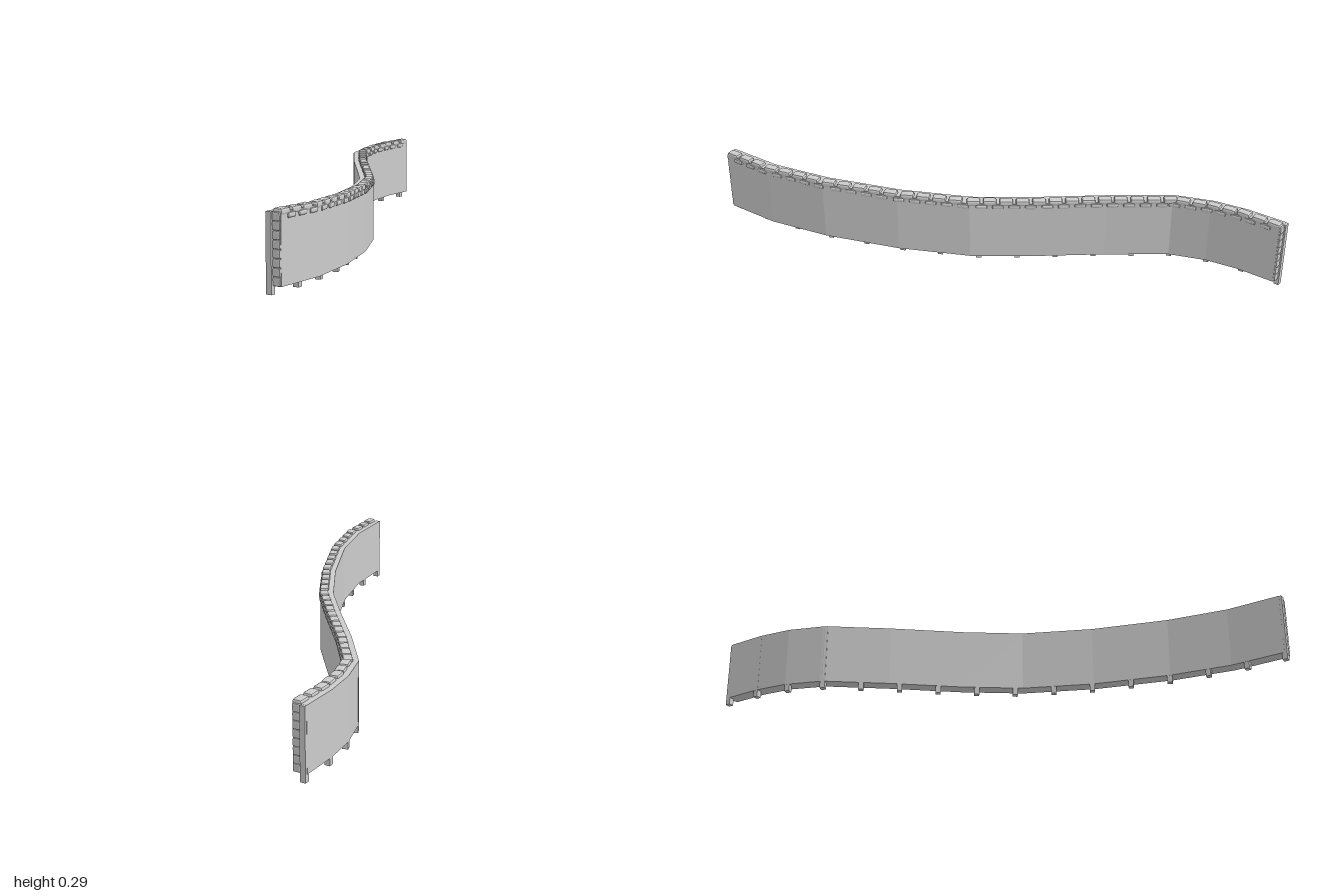
import * as THREE from 'three';
import { RoundedBoxGeometry } from 'three/addons/geometries/RoundedBoxGeometry.js';

const HEIGHT = 0.227, THICK = 0.05;

// Back lower edge of the wall: x, y, z
const PATH = [
  [-0.402, 0.058, 0.962], [-0.27, 0.054, 0.81], [-0.155, 0.049, 0.615], [-0.05, 0.038, 0.35],
  [0.022, 0.031, 0.095], [0.05, 0.03, -0.13], [0.08, 0.036, -0.4], [0.12, 0.043, -0.645],
  [0.19, 0.049, -0.78], [0.27, 0.052, -0.885], [0.373, 0.054, -0.99],
].map(p => new THREE.Vector3(...p));

const sideways = t => new THREE.Vector3(-t.z, 0, t.x).normalize();

// Mitred slab swept along the path, flat facets
function wallGeometry() {
  const dirs = PATH.slice(1).map((p, i) => sideways(p.clone().sub(PATH[i])));
  const rings = PATH.map((p, i) => {
    const a = dirs[Math.max(i - 1, 0)], b = dirs[Math.min(i, dirs.length - 1)];
    const n = a.clone().add(b).normalize();
    const front = p.clone().addScaledVector(n, THICK / n.dot(a));
    const up = v => v.clone().setY(v.y + HEIGHT);
    return [p, front, up(front), up(p)];
  });
  const pos = [];
  const quad = (a, b, c, d) => [a, b, c, a, c, d].forEach(v => pos.push(v.x, v.y, v.z));
  for (let i = 0; i < rings.length - 1; i++) {
    const r = rings[i], s = rings[i + 1];
    for (let k = 0; k < 4; k++) quad(r[k], s[k], s[(k + 1) % 4], r[(k + 1) % 4]);
  }
  const first = rings[0], last = rings[rings.length - 1];
  quad(...first);
  quad(last[3], last[2], last[1], last[0]);
  const g = new THREE.BufferGeometry();
  g.setAttribute('position', new THREE.Float32BufferAttribute(pos, 3));
  g.computeVertexNormals();
  return g;
}

export function createModel() {
  const model = new THREE.Group();
  const mat = new THREE.MeshStandardMaterial({ color: 0xcccccc, flatShading: true });

  const wall = new THREE.Mesh(wallGeometry(), mat);
  wall.name = 'wall';
  model.add(wall);

  const curve = new THREE.CurvePath();
  for (let i = 1; i < PATH.length; i++) curve.add(new THREE.LineCurve3(PATH[i - 1], PATH[i]));
  const length = curve.getLength();

  const group = name => {
    const g = new THREE.Group();
    g.name = name;
    model.add(g);
    return g;
  };
  // Put a part at distance s along the wall, offset towards the front and up
  const place = (parent, geo, name, s, offset, dy) => {
    const u = THREE.MathUtils.clamp(s / length, 0, 1);
    const t = curve.getTangentAt(u);
    const m = new THREE.Mesh(geo, mat);
    m.name = name;
    m.position.copy(curve.getPointAt(u)).addScaledVector(sideways(t), offset);
    m.position.y += dy;
    m.rotation.y = Math.atan2(-t.z, t.x);
    parent.add(m);
  };

  // Posts run the full height inside the back and stick out underneath
  const posts = group('posts');
  const postGeo = new THREE.BoxGeometry(0.019, HEIGHT + 0.026, 0.02);
  for (let i = 0; i < 16; i++)
    place(posts, postGeo, 'post', length * i / 15, 0.0105, HEIGHT / 2 - 0.0135);

  // Two staggered courses of bags along the top of the front
  const topBags = group('topBags');
  const bagGeo = new RoundedBoxGeometry(0.05, 0.022, 0.033, 1, 0.007);
  const lowGeo = new RoundedBoxGeometry(0.042, 0.018, 0.03, 1, 0.006);
  const count = 36, step = (length - 0.05) / (count - 1);
  for (let i = 0; i < count; i++) {
    place(topBags, bagGeo, 'topBag', 0.025 + i * step, 0.036, HEIGHT);
    if (i < count - 1)
      place(topBags, lowGeo, 'lowerBag', 0.025 + (i + 0.5) * step, 0.041, HEIGHT - 0.013);
  }

  // Stacked bag ends showing at both ends of the wall
  const endBags = group('endBags');
  const endGeo = new RoundedBoxGeometry(0.012, 0.0275, 0.028, 1, 0.004);
  for (const s of [0, length])
    for (let k = 0; k < 8; k++)
      place(endBags, endGeo, 'endBag', s, 0.035, 0.0145 + k * 0.0283);

  return model;
}
